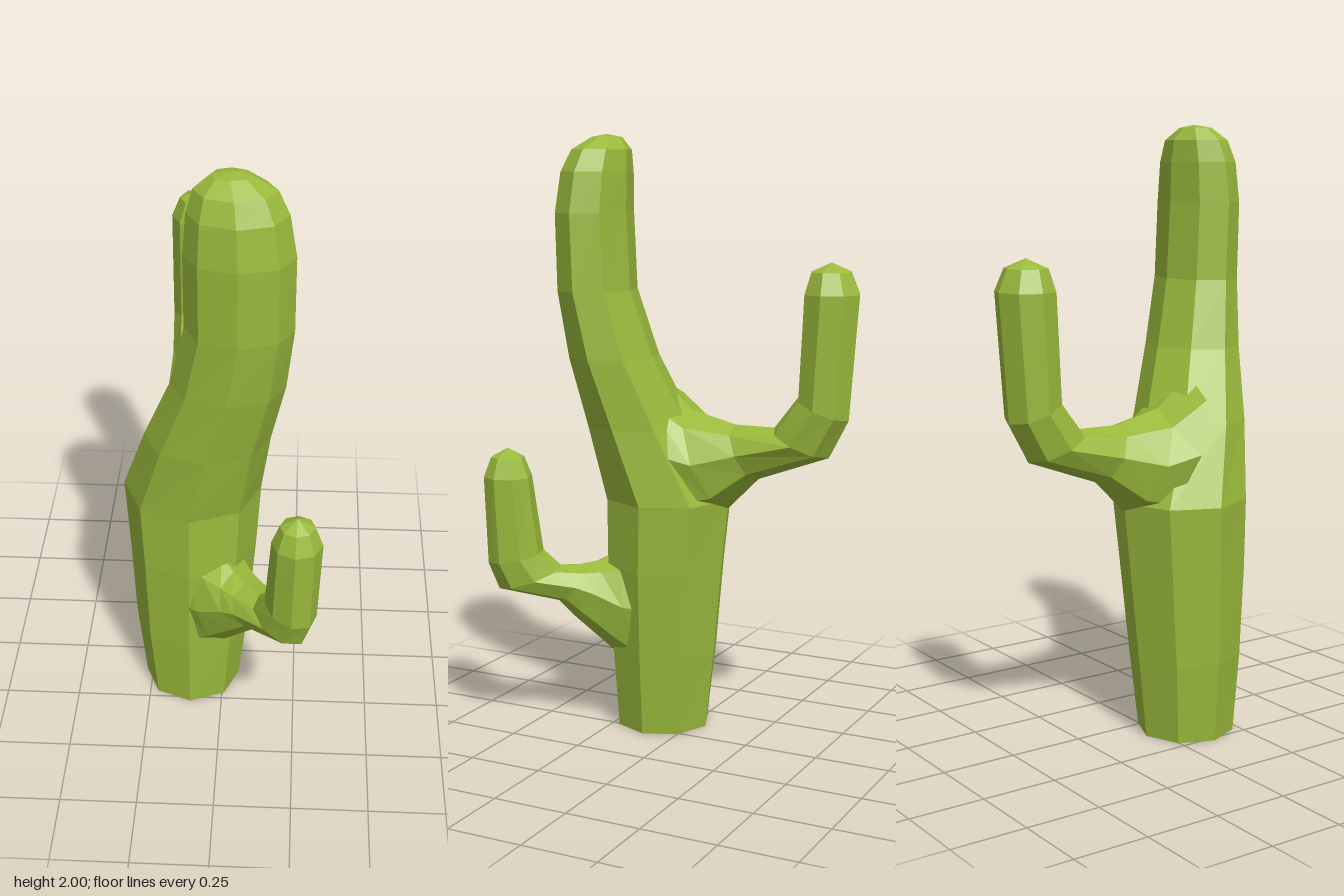
import * as THREE from 'three';

const SIDES = 8;
const UP = new THREE.Vector3(0, 1, 0);
const green = new THREE.MeshStandardMaterial({ color: 0x9aba3c, flatShading: true });

// Skin a row of rings {c, u, v}: centre and two half-axes, with fan caps at the ends
function loft(name, rings, tip, base) {
  const points = rings.map(({ c, u, v }) => Array.from({ length: SIDES }, (_, i) => {
    const a = (i / SIDES) * Math.PI * 2;
    return c.clone().addScaledVector(u, Math.cos(a)).addScaledVector(v, Math.sin(a));
  }));
  const pos = [];
  const tri = (...corners) => corners.forEach((p) => pos.push(p.x, p.y, p.z));
  const last = points[points.length - 1];
  for (let j = 0; j < SIDES; j++) {
    const k = (j + 1) % SIDES;
    for (let i = 0; i < points.length - 1; i++) {
      const [lo, hi] = [points[i], points[i + 1]];
      tri(lo[j], lo[k], hi[k]);
      tri(lo[j], hi[k], hi[j]);
    }
    tri(last[j], last[k], tip);
    if (base) tri(points[0][k], points[0][j], base);
  }
  const geometry = new THREE.BufferGeometry();
  geometry.setAttribute('position', new THREE.Float32BufferAttribute(pos, 3));
  geometry.computeVertexNormals();
  const mesh = new THREE.Mesh(geometry, green);
  mesh.name = name;
  return mesh;
}

// Leaning trunk: each level is [y, xMin, xMax, zMin, zMax]
function makeTrunk() {
  const levels = [
    [0, -0.27, 0.055, -0.05, 0.27],
    [0.27, -0.3, 0.085, -0.08, 0.285],
    [0.57, -0.315, 0.11, -0.11, 0.3],
    [0.8, -0.33, 0.125, -0.135, 0.3],
    [1.05, -0.25, 0.155, -0.01, 0.335],
    [1.28, -0.16, 0.2, 0.085, 0.365],
    [1.5, -0.11, 0.222, 0.147, 0.385],
    [1.75, -0.11, 0.222, 0.16, 0.39],
    [1.88, -0.1, 0.2, 0.16, 0.375],
    [1.95, -0.08, 0.165, 0.165, 0.345],
    [1.99, -0.03, 0.09, 0.195, 0.29],
  ];
  const rings = levels.map(([y, x0, x1, z0, z1]) => ({
    c: new THREE.Vector3((x0 + x1) / 2, y, (z0 + z1) / 2),
    u: new THREE.Vector3(0, 0, (z1 - z0) / 2),
    v: new THREE.Vector3((x1 - x0) / 2, 0, 0),
  }));
  return loft('trunk', rings, new THREE.Vector3(0.035, 2, 0.24), rings[0].c);
}

// Bent arm in a vertical plane: sections are [innerDist, innerY, outerDist, outerY, halfWidth]
function makeArm(name, origin, direction, sections, tipDist, tipY) {
  const dir = direction.normalize();
  const side = UP.clone().cross(dir);
  const at = (d, y) => origin.clone().addScaledVector(dir, d).setY(y);
  const rings = sections.map(([d0, y0, d1, y1, w]) => {
    const inner = at(d0, y0);
    const outer = at(d1, y1);
    return {
      c: inner.clone().add(outer).multiplyScalar(0.5),
      u: outer.sub(inner).multiplyScalar(0.5),
      v: side.clone().multiplyScalar(w),
    };
  });
  return loft(name, rings, at(tipDist, tipY));
}

export function createModel() {
  const group = new THREE.Group();
  group.name = 'cactus';
  group.add(makeTrunk());

  // Large upper arm growing to the back
  group.add(makeArm('backArm', new THREE.Vector3(-0.1, 0, 0), new THREE.Vector3(0, 0, -1), [
    [-0.12, 1.2, 0.05, 0.74, 0.19],
    [0, 1.1, 0.14, 0.78, 0.155],
    [0.16, 1.06, 0.245, 0.885, 0.105],
    [0.3, 1.06, 0.49, 0.975, 0.1],
    [0.385, 1.17, 0.555, 1.1, 0.1],
    [0.4, 1.5, 0.585, 1.5, 0.103],
    [0.422, 1.57, 0.555, 1.57, 0.075],
  ], 0.49, 1.6));

  // Small lower arm growing to the front left
  group.add(makeArm('frontArm', new THREE.Vector3(-0.11, 0, 0.1), new THREE.Vector3(0.66, 0, 0.75), [
    [0.08, 0.66, 0.12, 0.2, 0.13],
    [0.17, 0.615, 0.2, 0.28, 0.12],
    [0.23, 0.585, 0.33, 0.405, 0.095],
    [0.29, 0.575, 0.375, 0.455, 0.085],
    [0.365, 0.575, 0.575, 0.51, 0.075],
    [0.425, 0.635, 0.61, 0.6, 0.075],
    [0.46, 0.89, 0.62, 0.89, 0.08],
    [0.485, 0.955, 0.595, 0.955, 0.055],
  ], 0.54, 0.985));
  return group;
}
